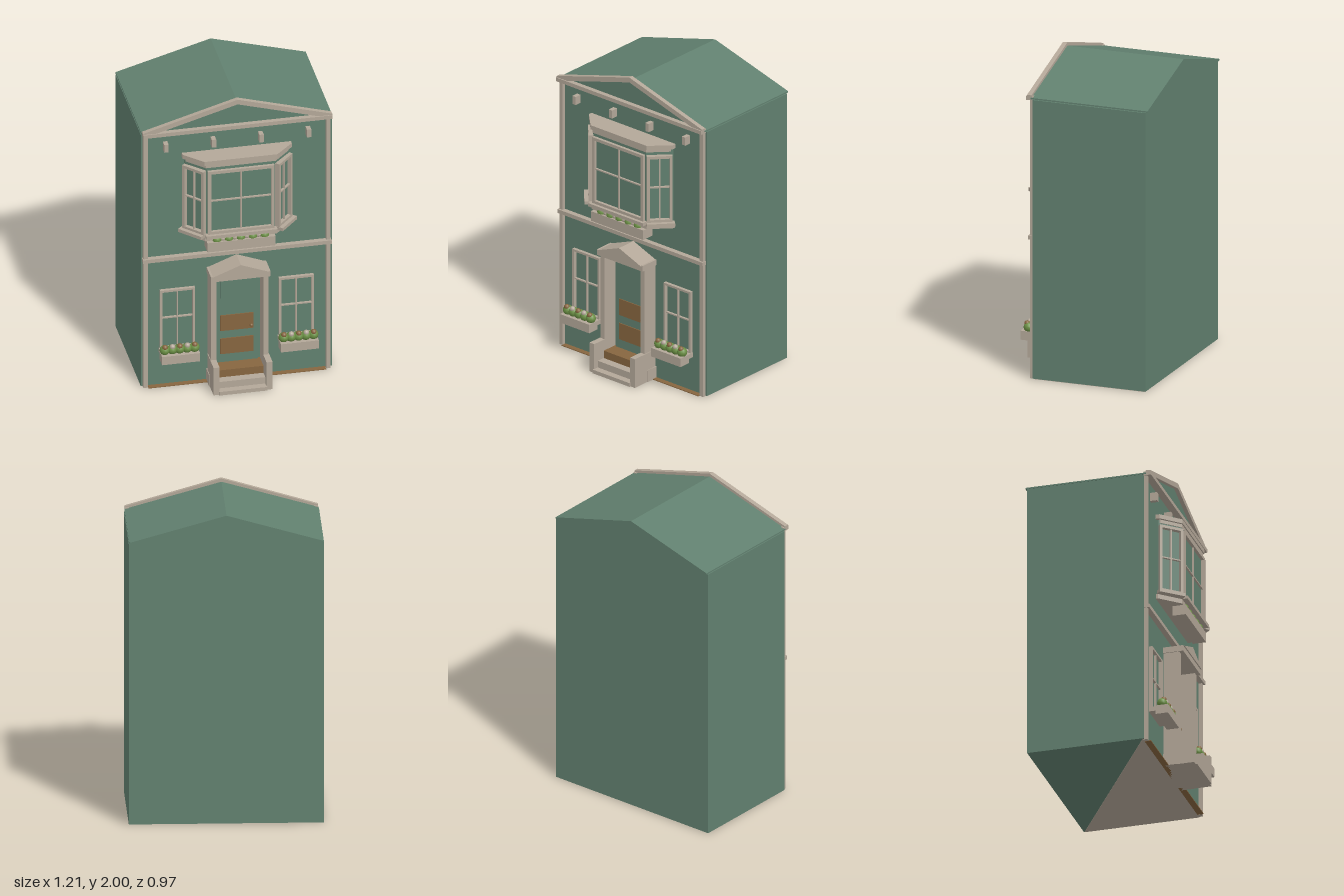
import * as THREE from 'three';

const material = (name, color) => {
  const m = new THREE.MeshStandardMaterial({ color });
  m.name = name;
  return m;
};

export function createModel() {
  const house = new THREE.Group();
  house.name = 'townhouse';
  const green = material('wall green', 0x61806f);
  const stone = material('stone trim', 0xb3a798);
  const brown = material('wood brown', 0x86653f);
  const leaf = material('leaf green', 0x6b9044);

  const add = (name, geometry, mat, parent = house) => {
    const mesh = new THREE.Mesh(geometry, mat);
    mesh.name = name;
    parent.add(mesh);
    return mesh;
  };
  // Box given by its limits on each axis
  const box = (name, mat, x0, x1, y0, y1, z0, z1, parent = house) => {
    const mesh = add(name, new THREE.BoxGeometry(x1 - x0, y1 - y0, z1 - z0), mat, parent);
    mesh.position.set((x0 + x1) / 2, (y0 + y1) / 2, (z0 + z1) / 2);
    return mesh;
  };
  const extrude = (pts, depth) => new THREE.ExtrudeGeometry(
    new THREE.Shape(pts.map(([x, y]) => new THREE.Vector2(x, y))), { depth, bevelEnabled: false });
  // Outline in x, y pushed along z
  const prism = (name, mat, pts, z0, z1) => {
    const mesh = add(name, extrude(pts, z1 - z0), mat);
    mesh.position.z = z0;
    return mesh;
  };
  // Outline in x, z pushed up along y
  const slab = (name, mat, pts, y0, y1) => {
    const mesh = add(name, extrude(pts.map(([x, z]) => [x, -z]), y1 - y0), mat);
    mesh.rotation.x = -Math.PI / 2;
    mesh.position.y = y0;
    return mesh;
  };
  // Window frame with glazing bars, centred on its own origin
  const windowFrame = (name, w, h, bar, depth) => {
    const g = new THREE.Group();
    g.name = name;
    const x = w / 2, y = h / 2, d = depth / 2;
    for (const s of [-1, 1]) {
      const cx = s * (x - bar / 2), cy = s * (y - bar / 2);
      box('frameUpright', stone, cx - bar / 2, cx + bar / 2, -y, y, -d, d, g);
      box('frameRail', stone, -x, x, cy - bar / 2, cy + bar / 2, -d, d, g);
    }
    box('glazingBarUpright', stone, -0.004, 0.004, -y, y, -d / 2, d / 2, g);
    box('glazingBarAcross', stone, -x, x, 0.006, 0.014, -d / 2, d / 2, g);
    house.add(g);
    return g;
  };
  const ball = new THREE.SphereGeometry(1, 12, 8);
  const sphere = (name, mat, x, y, z, r) => {
    const mesh = add(name, ball, mat);
    mesh.position.set(x, y, z);
    mesh.scale.setScalar(r);
  };
  const mirror = (half) => [...half, ...half.slice().reverse().map(([x, z]) => [-x, z])];

  // Shell, roof and underside
  box('walls', green, -0.603, 0.603, 0.003, 1.8, -0.475, 0.275);
  prism('roof', green, [[-0.6, 1.803], [0.6, 1.803], [0.6, 1.812], [0, 1.98], [-0.6, 1.812]], -0.487, 0.29);
  slab('foundation', stone, [[0.6, -0.47], [0.6, 0.27], [-0.6, 0.27]], 0, 0.003);
  box('frontSkirting', brown, -0.56, 0.56, 0, 0.005, 0.27, 0.31);

  // Facade trim
  for (const s of [-1, 1]) {
    box('cornerTrim', stone, s * 0.577 - 0.014, s * 0.577 + 0.014, 0, 1.8, 0.265, 0.297);
    for (const x of [0.15, 0.45])
      box('eavesBracket', stone, s * x - 0.014, s * x + 0.014, 1.68, 1.735, 0.27, 0.32);
  }
  box('cornice', stone, -0.597, 0.597, 1.795, 1.82, 0.275, 0.322);
  box('floorBand', stone, -0.595, 0.595, 0.895, 0.92, 0.27, 0.31);
  prism('gableRake', stone, [[-0.597, 1.82], [-0.51, 1.82], [0, 1.967], [0.51, 1.82],
    [0.597, 1.82], [0.597, 1.828], [0, 2.0], [-0.597, 1.828]], 0.285, 0.315);

  // Bay window
  slab('bayBody', green, mirror([[0.33, 0.27], [0.33, 0.29], [0.215, 0.405]]), 1.1, 1.61);
  slab('bayBase', stone, mirror([[0.34, 0.27], [0.34, 0.29], [0.225, 0.41]]), 1.07, 1.1);
  slab('bayFrieze', stone, mirror([[0.325, 0.27], [0.325, 0.3], [0.22, 0.408]]), 1.59, 1.612);
  slab('bayCap', stone, mirror([[0.345, 0.27], [0.345, 0.3], [0.23, 0.415]]), 1.612, 1.64);
  box('baySillFront', stone, -0.225, 0.225, 1.1, 1.122, 0.39, 0.445);
  windowFrame('bayFrontWindow', 0.42, 0.45, 0.02, 0.03).position.set(0, 1.345, 0.41);
  for (const s of [-1, 1]) {
    const side = windowFrame('baySideWindow', 0.16, 0.45, 0.018, 0.03);
    side.position.set(s * 0.283, 1.345, 0.354);
    side.rotation.y = s * 0.83;
    const sill = add('baySillSide', new THREE.BoxGeometry(0.175, 0.022, 0.045), stone);
    sill.position.set(s * 0.3, 1.111, 0.362);
    sill.rotation.y = s * 0.83;
  }
  box('bayPlanter', stone, -0.215, 0.215, 1.0, 1.065, 0.345, 0.43);
  for (let i = -2; i <= 2; i++) {
    sphere('bayPlant', leaf, i * 0.075, 1.07, 0.4, 0.03);
    if (i < 2) sphere('bayBlossom', stone, i * 0.075 + 0.037, 1.075, 0.4, 0.02);
  }

  // Ground floor windows with planters
  for (const s of [-1, 1]) {
    windowFrame('groundWindow', 0.22, 0.42, 0.014, 0.03).position.set(s * 0.375, 0.47, 0.282);
    box('windowSill', stone, s * 0.375 - 0.115, s * 0.375 + 0.115, 0.235, 0.265, 0.27, 0.325);
    box('windowPlanter', stone, s * 0.375 - 0.12, s * 0.375 + 0.12, 0.21, 0.268, 0.32, 0.4);
    for (let i = -2; i <= 2; i++) {
      const x = s * 0.375 + i * 0.047;
      sphere('plant', leaf, x, 0.29, 0.355, 0.032);
      sphere('blossom', i % 2 ? stone : brown, x, 0.313, 0.365, 0.018);
    }
  }

  // Door with panels
  box('door', green, -0.135, 0.135, 0.1, 0.74, 0.27, 0.287);
  box('doorGlass', green, -0.105, 0.105, 0.58, 0.705, 0.284, 0.293);
  box('doorUpperPanel', brown, -0.105, 0.105, 0.345, 0.455, 0.284, 0.293);
  box('doorLowerPanel', brown, -0.105, 0.105, 0.18, 0.29, 0.284, 0.293);
  sphere('doorKnob', brown, 0.09, 0.37, 0.3, 0.011);

  // Door surround and stoop
  for (const s of [-1, 1]) {
    box('doorPilaster', stone, s * 0.165 - 0.017, s * 0.165 + 0.017, 0, 0.77, 0.27, 0.378);
    box('pilasterBase', stone, s * 0.168 - 0.022, s * 0.168 + 0.022, 0, 0.08, 0.27, 0.36);
    box('stoopWall', stone, s * 0.167 - 0.019, s * 0.167 + 0.019, 0, 0.195, 0.29, 0.475);
  }
  box('doorLintel', stone, -0.188, 0.188, 0.767, 0.805, 0.27, 0.405);
  prism('doorPediment', stone, [[-0.18, 0.803], [0.18, 0.803], [0, 0.873]], 0.27, 0.412);
  box('bottomStep', stone, -0.152, 0.152, 0, 0.025, 0.27, 0.485);
  box('middleStep', stone, -0.15, 0.15, 0.025, 0.07, 0.27, 0.44);
  box('topStep', brown, -0.15, 0.15, 0.07, 0.12, 0.27, 0.385);

  return house;
}
